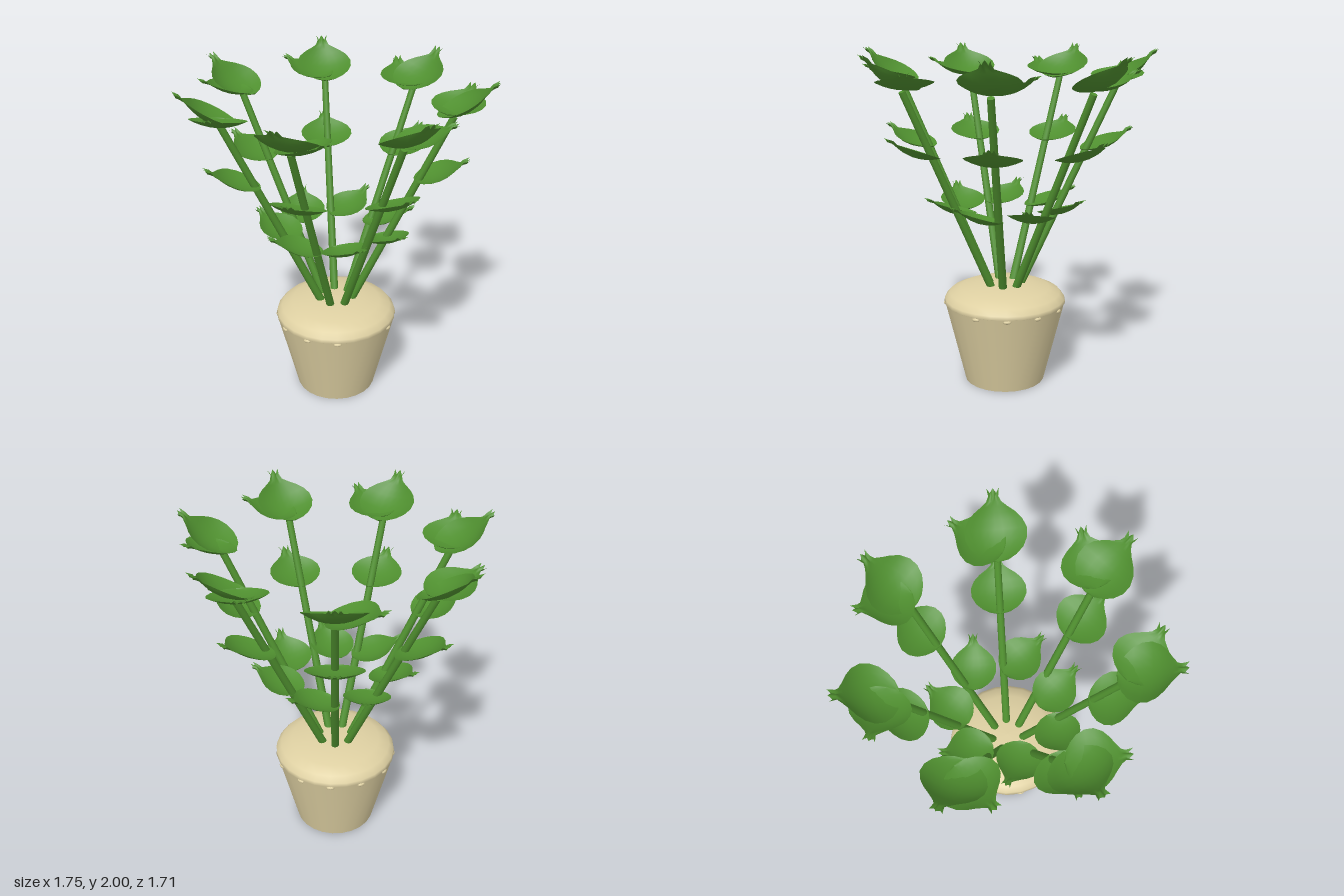
import * as THREE from 'three';

const STEMS = 7;
const HUB_Z = -0.037;

const leafGreen = new THREE.MeshStandardMaterial({ color: 0x4f8f2f, side: THREE.DoubleSide });
leafGreen.name = 'leaf green';
const clay = new THREE.MeshStandardMaterial({ color: 0xded0a2 });
clay.name = 'cream clay';

function mesh(name, geometry, material) {
  const m = new THREE.Mesh(geometry, material);
  m.name = name;
  return m;
}

// Cupped onion-shaped leaf along +z: round body, narrow neck, flared tip with three points
function leafGeometry(halfWidth, length, belly) {
  const outline = [ // [distance along, half width], both as fractions
    [0, 0.02], [0.03, 0.35], [0.1, 0.62], [0.2, 0.85], [0.33, 0.99], [0.47, 1], [0.6, 0.87],
    [0.7, 0.66], [0.78, 0.42], [0.85, 0.24], [0.92, 0.16], [1, 0.2],
  ];
  const cols = 8, pos = [], index = [];
  outline.forEach(([t, w], r) => {
    for (let c = 0; c <= cols; c++) {
      const v = (c / cols) * 2 - 1;
      const cup = -belly * Math.sin(Math.PI * Math.min(1, t * 1.1 + 0.05)) * (1 - v * v);
      const curl = t > 0.85 ? 0.015 * Math.abs(Math.cos(v * Math.PI)) : 0;
      const fork = t === 1 ? 0.012 * Math.cos(v * Math.PI * 2) : 0;
      pos.push(v * w * halfWidth, cup + curl, t * length + fork);
      if (r < outline.length - 1 && c < cols) {
        const a = r * (cols + 1) + c, b = a + cols + 1;
        index.push(a, b, a + 1, b, b + 1, a + 1);
      }
    }
  });
  const g = new THREE.BufferGeometry();
  g.setAttribute('position', new THREE.Float32BufferAttribute(pos, 3));
  g.setIndex(index);
  g.computeVertexNormals();
  return g;
}

// Leaf with its base at (x, y, z), turned by yaw and lifted by tilt (degrees)
function leaf(name, geometry, x, y, z, yaw, tilt) {
  const m = mesh(name, geometry, leafGreen);
  m.rotation.order = 'YXZ';
  m.rotation.set(-THREE.MathUtils.degToRad(tilt), THREE.MathUtils.degToRad(yaw), 0);
  m.position.set(x, y, z);
  return m;
}

// Straight stem between two points
function stem(from, to) {
  const dir = to.clone().sub(from);
  const m = mesh('stem', new THREE.CylinderGeometry(0.02, 0.025, dir.length(), 10), leafGreen);
  m.position.copy(from).add(to).multiplyScalar(0.5);
  m.quaternion.setFromUnitVectors(new THREE.Vector3(0, 1, 0), dir.normalize());
  return m;
}

function createPot() {
  const pot = new THREE.Group();
  pot.name = 'pot';
  pot.position.z = HUB_Z;

  // Tapered wall with a closed base
  const wall = mesh('potWall', new THREE.CylinderGeometry(0.365, 0.243, 0.5, 24), clay);
  wall.position.y = 0.25;
  pot.add(wall);

  // Domed top
  const profile = [[0.358, 0.492], [0.368, 0.5], [0.364, 0.522], [0.335, 0.556], [0.27, 0.585],
    [0.17, 0.603], [0.08, 0.61], [0, 0.612]].map(([r, y]) => new THREE.Vector2(r, y));
  pot.add(mesh('potTop', new THREE.LatheGeometry(profile, 24), clay));

  // Small beads under the rim
  const beadGeometry = new THREE.SphereGeometry(1, 8, 6);
  for (let i = 1; i < 12; i++) {
    const a = (i / 12) * Math.PI * 2;
    const bead = mesh('rimBead', beadGeometry, clay);
    bead.scale.set(0.024, 0.012, 0.012);
    bead.position.set(Math.sin(a) * 0.36, 0.487, Math.cos(a) * 0.36);
    bead.rotation.y = a;
    pot.add(bead);
  }
  return pot;
}

export function createModel() {
  const model = new THREE.Group();
  model.name = 'pottedPlant';
  model.add(createPot());

  const large = leafGeometry(0.165, 0.37, 0.055);
  const medium = leafGeometry(0.157, 0.325, 0.04);
  const small = leafGeometry(0.135, 0.325, 0.04);

  // Seven leaning stems, each with two top leaves, a middle leaf and a low leaf
  for (let i = 0; i < STEMS; i++) {
    const branch = new THREE.Group();
    branch.name = 'branch';
    branch.position.z = HUB_Z;
    branch.rotation.y = (i / STEMS) * Math.PI * 2;
    branch.add(
      stem(new THREE.Vector3(0, 0.5, 0.05), new THREE.Vector3(0, 1.8, 0.655)),
      leaf('topLeaf', large, 0, 1.81, 0.56, 0, 28),
      leaf('topSideLeaf', medium, -0.035, 1.825, 0.615, 62, 14),
      leaf('middleLeaf', medium, 0, 1.425, 0.447, 0, 20),
      // the front stem carries its low leaf straight ahead
      i === 0 ? leaf('lowLeaf', small, -0.11, 1.055, 0.15, 0, 17)
        : leaf('lowLeaf', small, 0.005, 1.055, 0.235, -55, 17),
    );
    model.add(branch);
  }
  return model;
}
